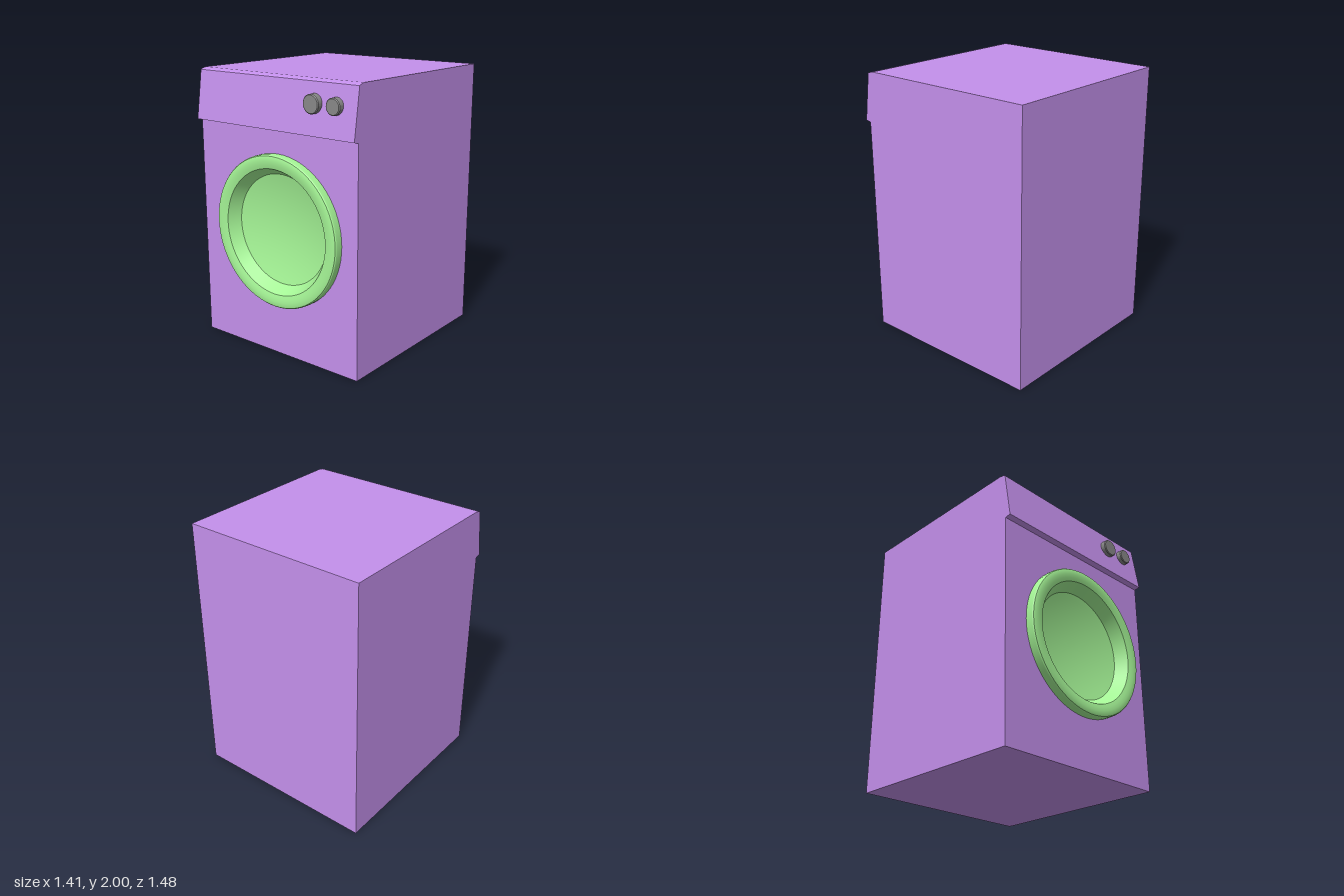
import * as THREE from 'three';
import { toCreasedNormals } from 'three/addons/utils/BufferGeometryUtils.js';

const purple = new THREE.MeshStandardMaterial({ color: 0xc490ec });
const green = new THREE.MeshStandardMaterial({ color: 0xa5f596 });
const grey = new THREE.MeshStandardMaterial({ color: 0x888888 });

const WIDTH = 1.41, FRONT = 0.675, RECESS = 0.55;
const DOOR = { x: 0.03, y: 0.925 };

function part(name, geometry, material) {
  const mesh = new THREE.Mesh(geometry, material);
  mesh.name = name;
  return mesh;
}

// Solid of revolution about z, from [radius, z] points
function turned(points) {
  const lathe = new THREE.LatheGeometry(points.map(([r, z]) => new THREE.Vector2(r, z)), 72);
  return toCreasedNormals(lathe.rotateX(Math.PI / 2), 0.5);
}

export function createModel() {
  const model = new THREE.Group();
  model.name = 'washingMachine';

  // Cabinet with slanted, overhanging control panel: side profile as [z, y]
  const profile = [
    [-0.74, 0], [RECESS, 0], [RECESS, 1.63], [FRONT, 1.63], [0.718, 1.637],
    [0.667, 1.985], [0.655, 1.992], [0.62, 2], [-0.74, 2],
  ].map(([z, y]) => new THREE.Vector2(z, y));
  const cabinet = new THREE.ExtrudeGeometry(new THREE.Shape(profile), { depth: WIDTH, bevelEnabled: false });
  cabinet.translate(0, 0, -WIDTH / 2).rotateY(-Math.PI / 2);
  model.add(part('cabinet', cabinet, purple));

  // Front plate with a round door opening
  const w = WIDTH / 2;
  const plate = new THREE.Shape([[-w, 0], [w, 0], [w, 1.63], [-w, 1.63]].map(p => new THREE.Vector2(...p)));
  plate.holes.push(new THREE.Path().absarc(DOOR.x, DOOR.y, 0.48, 0, Math.PI * 2, true));
  const front = new THREE.ExtrudeGeometry(plate, { depth: FRONT - RECESS, bevelEnabled: false, curveSegments: 36 });
  model.add(part('frontPlate', front.translate(0, 0, RECESS), purple));

  // Door: rounded rim, tapered inner wall and shallow concave bowl
  const door = new THREE.Group();
  door.name = 'door';
  door.position.set(DOOR.x, DOOR.y, 0);
  door.add(part('doorRim', turned([
    [0.545, 0.665], [0.546, 0.71], [0.544, 0.728], [0.538, 0.736], [0.525, 0.74],
    [0.5, 0.74], [0.475, 0.737], [0.45, 0.73], [0.398, 0.645],
  ]), green));
  const bowl = [];
  for (let i = 0; i <= 10; i++) {
    const t = 1 - i / 10;
    bowl.push([0.398 * t, 0.595 + 0.05 * t * t]);
  }
  door.add(part('doorBowl', turned(bowl), green));
  model.add(door);

  // Control knobs, slightly rounded at the front edge
  for (const [name, x, r] of [['largeKnob', 0.36, 0.065], ['smallKnob', 0.54, 0.057]]) {
    const knob = part(name, turned([[r, 0.66], [r, 0.722], [r - 0.006, 0.728], [0, 0.728]]), grey);
    knob.position.set(x, 1.845, 0);
    model.add(knob);
  }
  return model;
}
